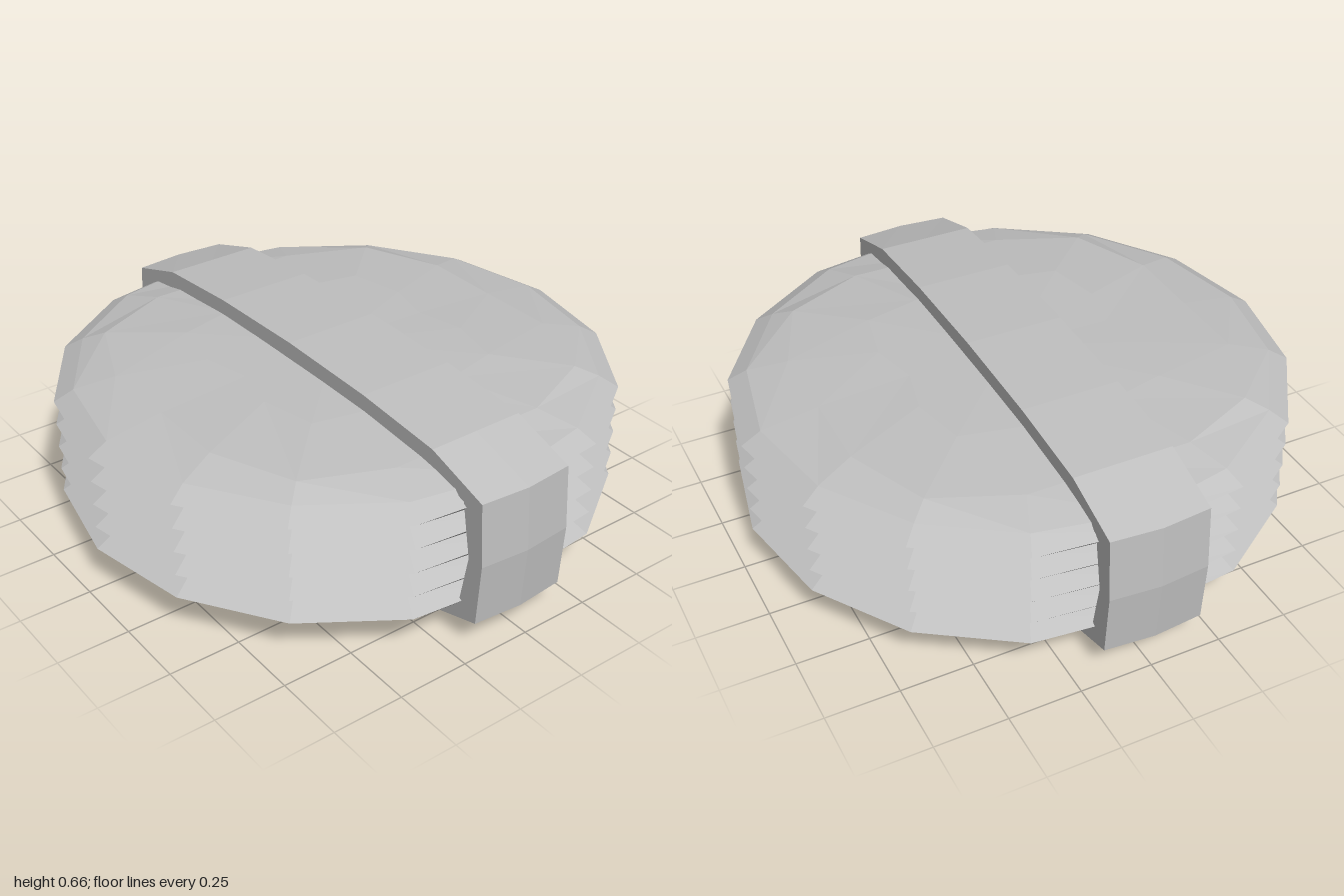
import * as THREE from 'three';

// Skin a list of closed loops (arrays of [x, y, z]) with quads
function loft(loops) {
  const pos = [];
  for (let i = 0; i < loops.length - 1; i++) {
    const a = loops[i], b = loops[i + 1], n = a.length;
    for (let j = 0; j < n; j++) {
      const k = (j + 1) % n;
      pos.push(...a[j], ...b[j], ...b[k], ...a[j], ...b[k], ...a[k]);
    }
  }
  const g = new THREE.BufferGeometry();
  g.setAttribute('position', new THREE.Float32BufferAttribute(pos, 3));
  g.computeVertexNormals();
  return g;
}

const MID = 0.335; // half height of the model

// Sixteen-sided ring; square pushes the diagonals outwards
function bodyRing(r, y, square = 0) {
  return Array.from({ length: 16 }, (_, j) => {
    const a = (j / 16) * Math.PI * 2;
    const q = r * (1 + square * Math.sin(2 * a) ** 2);
    return [THREE.MathUtils.clamp(q * Math.sin(a), -0.925, 0.925), y, q * Math.cos(a)];
  });
}

// Mirror a quarter outline of [x, half height] into a closed loop at depth z
function bandLoop(quarter, z, bulge = 0) {
  const last = quarter.length - 1;
  const pts = [];
  const add = (i, sx, sy) => {
    const [x, h] = quarter[i];
    pts.push([sx * (x + (i >= last - 1 ? bulge : 0)), MID + sy * h, z]);
  };
  for (let i = last; i >= 0; i--) add(i, 1, 1);
  for (let i = 1; i <= last; i++) add(i, -1, 1);
  for (let i = last - 1; i >= 0; i--) add(i, -1, -1);
  for (let i = 1; i < last; i++) add(i, 1, -1);
  return pts;
}

export function createModel() {
  const group = new THREE.Group();
  const grey = new THREE.MeshStandardMaterial({ color: 0xc0c0c0, flatShading: true });
  grey.name = 'light grey';

  // Domed ribbed body: shallow domes with five sharp ridges between them
  const dome = [[0, 0.273, 0], [0.37, 0.265, 0.4], [0.69, 0.243, 0.17], [0.89, 0.213, 0]];
  const rings = dome.map(([r, h, s]) => bodyRing(r, MID + h, s));
  for (let i = 0; i < 5; i++) {
    const y = 0.51 - i * 0.0875;
    rings.push(bodyRing(0.957, y));
    if (i < 4) rings.push(bodyRing(0.885, y - 0.044));
  }
  for (const [r, h, s] of [...dome].reverse()) rings.push(bodyRing(r, MID - h, s));
  const body = new THREE.Mesh(loft(rings), grey);
  body.name = 'ribbedBody';
  group.add(body);

  // Strap wrapped around the body, slightly bulged at both ends
  const outer = [[0, 0.33], [0.4, 0.321], [0.74, 0.295], [0.97, 0.222], [0.985, 0]];
  const inner = [[0, 0.268], [0.4, 0.26], [0.72, 0.235], [0.89, 0.19], [0.925, 0]];
  const front = 0.19, back = -0.157;
  const strap = new THREE.Mesh(loft([
    bandLoop(outer, front),
    bandLoop(outer, 0.017, 0.015),
    bandLoop(outer, back),
    bandLoop(inner, back),
    bandLoop(inner, front),
    bandLoop(outer, front),
  ]), grey);
  strap.name = 'strap';
  group.add(strap);

  return group;
}
